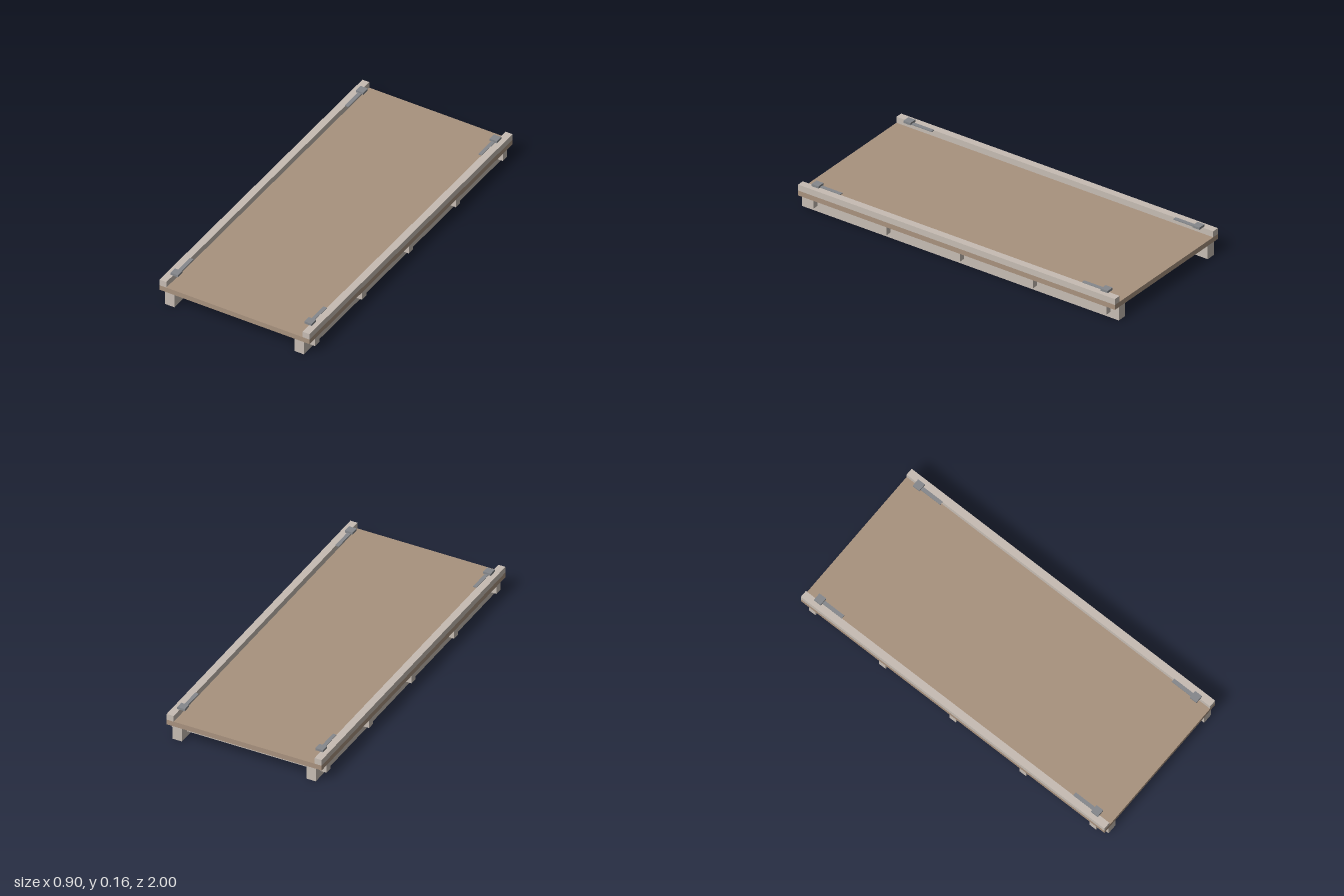
import * as THREE from 'three';

const wood = new THREE.MeshStandardMaterial({ color: 0xc6bcb3 });
const plank = new THREE.MeshStandardMaterial({ color: 0xa8927e });
const metal = new THREE.MeshStandardMaterial({ color: 0x85888c });

// Box given by its min and max corners
function block(name, material, [x0, y0, z0], [x1, y1, z1]) {
  const mesh = new THREE.Mesh(new THREE.BoxGeometry(x1 - x0, y1 - y0, z1 - z0), material);
  mesh.position.set((x0 + x1) / 2, (y0 + y1) / 2, (z0 + z1) / 2);
  mesh.name = name;
  return mesh;
}

// Box centred on x and z, standing on y0
function centred(name, material, x, z, w, d, y0, y1) {
  return block(name, material, [x - w / 2, y0, z - d / 2], [x + w / 2, y1, z + d / 2]);
}

export function createModel() {
  const model = new THREE.Group();
  model.name = 'platform';

  // Flat deck across the full width
  model.add(block('deck', plank, [-0.449, 0.078, -1], [0.449, 0.107, 1]));

  // Cross beams under the deck
  for (let i = -2; i <= 2; i++) {
    model.add(centred('crossBeam', wood, 0, i * 0.4625, 0.898, 0.043, 0.032, 0.078));
  }

  for (const side of [-1, 1]) {
    const label = side > 0 ? 'left' : 'right';
    // Long runner below and curb rail above
    model.add(centred(label + 'Runner', wood, side * 0.3875, 0, 0.055, 2, 0, 0.078));
    model.add(centred(label + 'Curb', wood, side * 0.4285, 0, 0.041, 2, 0.107, 0.142));

    // Latch at each end: square pad with a thin strap pointing inwards
    for (const end of [-1, 1]) {
      const latch = new THREE.Group();
      latch.name = label + (end > 0 ? 'Front' : 'Back') + 'Latch';
      latch.add(centred('pad', metal, side * 0.4, end * 0.913, 0.044, 0.044, 0.142, 0.155));
      latch.add(centred('strap', metal, side * 0.399, end * 0.838, 0.021, 0.15, 0.14, 0.145));
      model.add(latch);
    }
  }
  return model;
}
